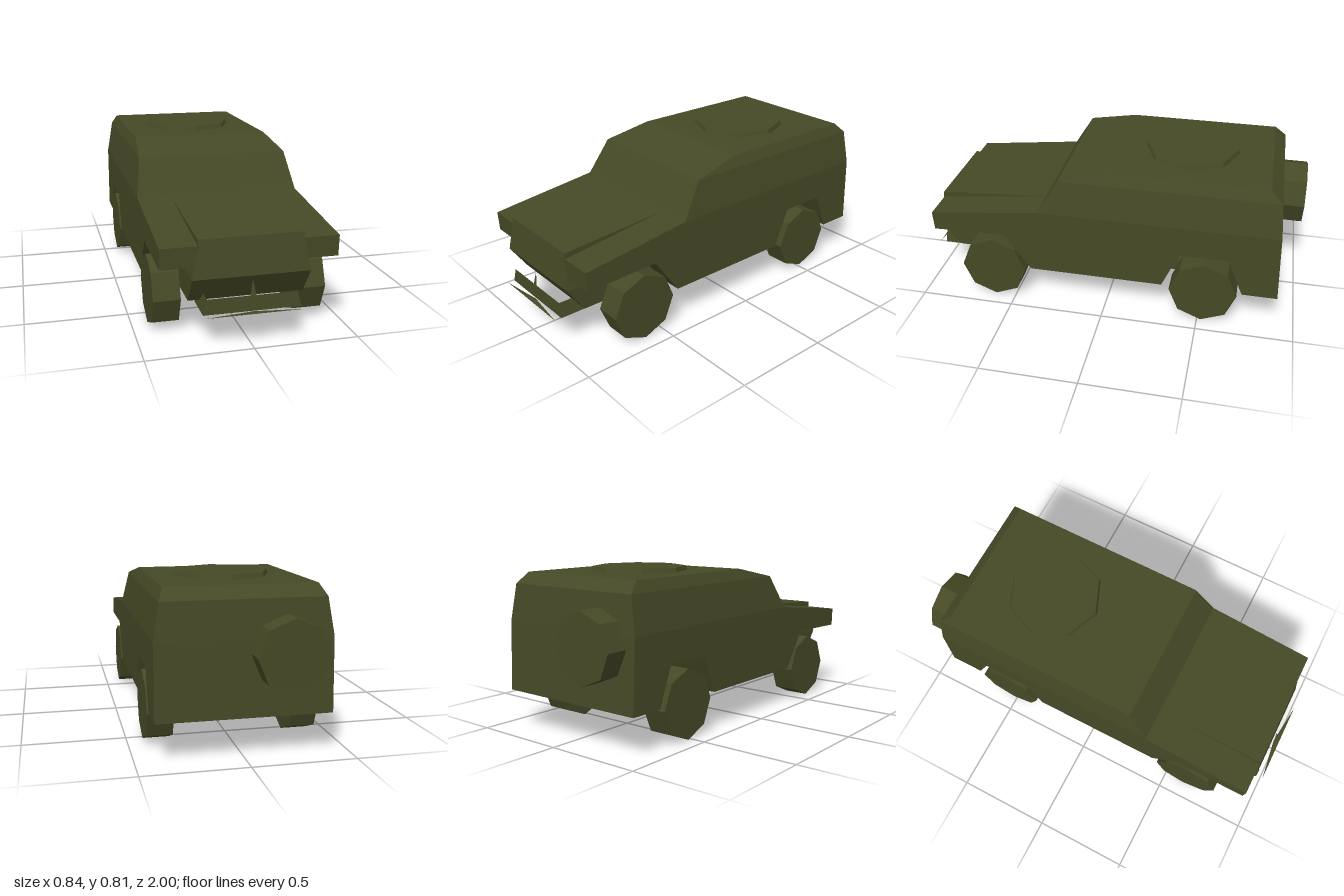
import * as THREE from 'three';

const olive = new THREE.MeshStandardMaterial({ color: 0x464926 });
const oliveSheet = new THREE.MeshStandardMaterial({ color: 0x464926, side: THREE.DoubleSide });

// Flat-faceted version of a geometry
function facet(geometry) {
  const flat = geometry.index ? geometry.toNonIndexed() : geometry;
  flat.computeVertexNormals();
  return flat;
}

// Side outline in [z, y], extruded across x
function sideProfile(points, width, x = 0) {
  const shape = new THREE.Shape(points.map(([z, y]) => new THREE.Vector2(z, y)));
  const geometry = new THREE.ExtrudeGeometry(shape, { depth: width, bevelEnabled: false });
  geometry.translate(0, 0, -width / 2).rotateY(-Math.PI / 2).translate(x, 0, 0);
  return geometry;
}

// Stack of rectangles, each [y, back z, front z, half width], bottom to top
function stack(levels, openTop = false) {
  const positions = [], index = [];
  for (const [y, back, front, w] of levels) {
    positions.push(w, y, front, w, y, back, -w, y, back, -w, y, front);
  }
  for (let r = 0; r < levels.length - 1; r++) {
    for (let i = 0; i < 4; i++) {
      const a = r * 4 + i, b = r * 4 + (i + 1) % 4;
      index.push(a, b, b + 4, a, b + 4, a + 4);
    }
  }
  index.push(0, 2, 1, 0, 3, 2);
  const t = (levels.length - 1) * 4;
  if (!openTop) index.push(t, t + 1, t + 2, t, t + 2, t + 3);
  const geometry = new THREE.BufferGeometry();
  geometry.setAttribute('position', new THREE.Float32BufferAttribute(positions, 3));
  geometry.setIndex(index);
  return facet(geometry);
}

function triangle(...corners) {
  const geometry = new THREE.BufferGeometry();
  geometry.setAttribute('position', new THREE.Float32BufferAttribute(corners, 3));
  geometry.computeVertexNormals();
  return geometry;
}

const octagon = (top, bottom, height) => facet(new THREE.CylinderGeometry(top, bottom, height, 8));

export function createModel() {
  const model = new THREE.Group();
  const add = (name, geometry, material = olive) => {
    const mesh = new THREE.Mesh(geometry, material);
    mesh.name = name;
    model.add(mesh);
    return mesh;
  };

  // Lower hull with fenders and open wheel arches
  add('lowerBody', sideProfile([
    [0.93, 0.48], [0.35, 0.55], [-0.885, 0.55], [-0.9, 0.193], [-0.72, 0.193], [-0.64, 0.39],
    [-0.39, 0.39], [-0.305, 0.193], [0.4, 0.193], [0.54, 0.39], [0.925, 0.38],
  ], 0.83));

  // Cabin with tapered sides and chamfered roof
  add('cabin', stack([
    [0.55, -0.885, 0.35, 0.415],
    [0.73, -0.87, 0.24, 0.385],
    [0.785, -0.81, -0.02, 0.36],
  ]));

  // Raised hood and the nose beneath it
  add('hood', sideProfile([[0.35, 0.55], [0.93, 0.51], [0.935, 0.46], [0.35, 0.46]], 0.49));
  add('nose', stack([
    [0.2, 0.35, 0.86, 0.275],
    [0.33, 0.35, 0.95, 0.275],
    [0.46, 0.35, 0.935, 0.25],
  ]));

  // Front bumper, its lip and the centre tow spike
  add('bumper', stack([[0.168, 0.8, 0.965, 0.23], [0.24, 0.8, 0.96, 0.21]], true));
  add('bumperLip', triangle(-0.23, 0.168, 1, 0.23, 0.168, 1, 0, 0.168, 0.97), oliveSheet);
  add('towSpike', triangle(-0.015, 0.24, 0.968, 0.015, 0.24, 0.968, 0, 0.315, 0.955), oliveSheet);

  // Rear axle fairing
  add('axleFairing', sideProfile([[-0.3, 0.2], [-0.34, 0.27], [-0.375, 0.26], [-0.72, 0.205], [-0.72, 0.195]], 0.55));

  // Roof hatch
  add('roofHatch', octagon(0.238, 0.247, 0.024)).position.set(0, 0.795, -0.393);

  // Four road wheels
  for (const side of [1, -1]) {
    for (const [end, z] of [['front', 0.61], ['rear', -0.52]]) {
      const wheel = add(`${end}${side > 0 ? 'Left' : 'Right'}Wheel`, octagon(0.175, 0.175, 0.13).rotateZ(Math.PI / 2));
      wheel.position.set(side * 0.355, 0.175, z);
    }
  }

  // Spare wheel on the back
  add('spareWheel', octagon(0.172, 0.172, 0.125).rotateX(Math.PI / 2)).position.set(-0.195, 0.488, -0.9375);

  return model;
}
